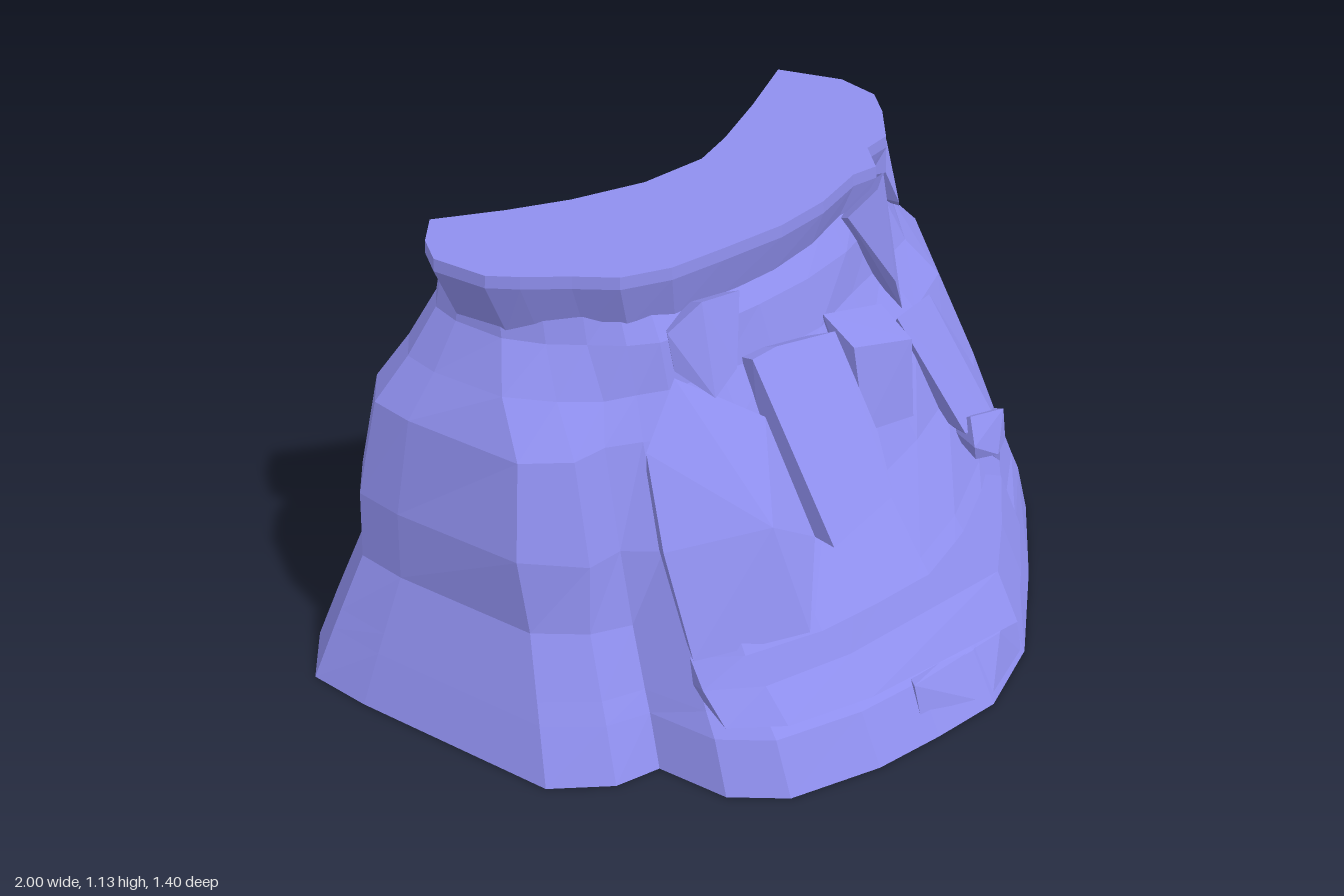
import * as THREE from 'three';
import { ConvexGeometry } from 'three/addons/geometries/ConvexGeometry.js';

const material = new THREE.MeshStandardMaterial({ color: 0x8f8fee, flatShading: true });
const mix = THREE.MathUtils.lerp;

// Closed flat-shaded loft through rings of [x, y, z], running counter-clockwise from above
function loft(rings) {
  const pos = [];
  const tri = (a, b, c) => pos.push(...a, ...b, ...c);
  const n = rings[0].length;
  for (let r = 0; r < rings.length - 1; r++) {
    for (let i = 0; i < n; i++) {
      const j = (i + 1) % n, lo = rings[r], hi = rings[r + 1];
      tri(lo[i], lo[j], hi[j]);
      tri(lo[i], hi[j], hi[i]);
    }
  }
  const lid = (ring, up) => {
    const flat = ring.map(p => new THREE.Vector2(p[0], -p[2]));
    for (const [a, b, c] of THREE.ShapeUtils.triangulateShape(flat, [])) {
      const ccw = THREE.ShapeUtils.area([flat[a], flat[b], flat[c]]) > 0;
      if (ccw === up) tri(ring[a], ring[b], ring[c]);
      else tri(ring[a], ring[c], ring[b]);
    }
  };
  lid(rings[0], false);
  lid(rings[rings.length - 1], true);
  const g = new THREE.BufferGeometry();
  g.setAttribute('position', new THREE.Float32BufferAttribute(pos, 3));
  g.computeVertexNormals();
  return g;
}

// Wall columns: foot x, foot z, top x, top z, share of the front slope
const columns = [
  [-0.89, -0.70, -0.56, -0.50, 0], [-1.00, -0.57, -0.61, -0.44, 0],
  [-0.98, -0.40, -0.62, -0.36, 0], [-0.87, 0.14, -0.60, -0.24, 0],
  [-0.75, 0.25, -0.55, -0.15, 0.2], [-0.64, 0.28, -0.49, -0.08, 0.4],
  [-0.60, 0.46, -0.43, -0.02, 0.9], [-0.50, 0.57, -0.37, 0.02, 1],
  [-0.28, 0.65, -0.24, 0.05, 1], [-0.10, 0.68, -0.10, 0.06, 1],
  [0.08, 0.70, 0.06, 0.06, 1], [0.29, 0.63, 0.22, 0.04, 1],
  [0.55, 0.44, 0.36, 0.00, 0.7], [0.78, 0.25, 0.48, -0.07, 0.3],
  [1.00, -0.18, 0.59, -0.17, 0], [0.97, -0.52, 0.61, -0.32, 0],
  [0.89, -0.66, 0.56, -0.48, 0], [0.40, -0.20, 0.25, -0.33, 0],
  [-0.04, -0.09, 0.00, -0.28, 0], [-0.45, -0.29, -0.30, -0.36, 0],
];
// Height, then how far the front, left and right have moved to the top outline
const levels = [
  [0, 0, 0, 0], [0.13, 0.11, 0.15, 0.05], [0.18, 0.2, 0.21, 0.08], [0.32, 0.38, 0.38, 0.18],
  [0.5, 0.6, 0.41, 0.32], [0.74, 0.82, 0.56, 0.57], [0.84, 0.92, 0.78, 0.82],
  [0.95, 0.96, 0.97, 0.95], [1.04, 1.06, 1.02, 1.02],
];

function wallGeometry() {
  let seed = 7;
  const rough = () => ((seed = (seed * 16807) % 2147483647) / 2147483647 - 0.5) * 0.025;
  return loft(levels.map(([y, front, left, right], k) => columns.map(([x0, z0, x1, z1, w], i) => {
    const side = i > 16 ? y / 1.04 : x0 < 0 ? left : right;
    const f = mix(side, front, w);
    const r = k > 3 && k < 7 && i > 2 && i < 14 ? rough() : 0;
    return [mix(x0, x1, f) + r, y - r, mix(z0, z1, f) + r];
  })));
}

// Crescent outline of the top slab
const rim = [
  [-0.57, -0.51], [-0.64, -0.44], [-0.68, -0.36], [-0.65, -0.22], [-0.60, -0.16], [-0.52, -0.08],
  [-0.45, 0.00], [-0.34, 0.05], [-0.20, 0.07], [-0.03, 0.09], [0.12, 0.08], [0.27, 0.04],
  [0.34, 0.05], [0.40, -0.03], [0.48, -0.04], [0.58, -0.14], [0.64, -0.22], [0.65, -0.34],
  [0.58, -0.50], [0.38, -0.40], [0.20, -0.32], [0.08, -0.28], [-0.10, -0.29], [-0.28, -0.35], [-0.42, -0.42],
];
function slabGeometry() {
  const ring = (y, s, tilt) => rim.map(([x, z]) => [x * s, y + tilt * x, z < -0.25 ? z : (z + 0.25) * s - 0.25]);
  return loft([ring(1.005, 0.92, 0.06), ring(1.1, 1, 0), ring(1.13, 0.995, 0)]);
}

// Lip ledge, a shelf sweeping across the front
const lipFront = [[-0.61, 0.45], [-0.5, 0.54], [-0.28, 0.60], [0.2, 0.645], [0.36, 0.53], [0.52, 0.40]];
function lipGeometry() {
  const back = [[0.45, 0.25], [0, 0.32], [-0.52, 0.25]];
  const ring = (y, push, tilt) => [
    ...lipFront.map(([x, z]) => [x, y - tilt * Math.min(x, 0.2), z + push]),
    ...back.map(([x, z]) => [x, y, z]),
  ];
  return loft([ring(0.18, 0.02, 0.07), ring(0.285, -0.05, 0.01)]);
}

// Angular rocks, each the hull of a few corners
const rocks = {
  nose: [[-0.2, 0.48, 0.42], [0.03, 0.5, 0.4], [0.07, 0.62, 0.31], [-0.18, 0.86, 0.14],
    [-0.1, 0.86, 0.14], [0.08, 0.83, 0.16], [-0.2, 0.48, 0.2], [0.05, 0.5, 0.2], [-0.17, 0.82, 0]],
  leftCheek: [[-0.56, 0.3, 0.32], [-0.3, 0.3, 0.44], [-0.2, 0.48, 0.36], [-0.32, 0.56, 0.34],
    [-0.55, 0.55, 0.22], [-0.5, 0.75, 0.12], [-0.37, 0.87, 0.08], [-0.2, 0.74, 0.2], [-0.4, 0.4, 0]],
  rightEye: [[0.08, 0.86, 0.12], [0.08, 0.81, 0.22], [0.28, 0.75, 0.23], [0.07, 0.6, 0.27],
    [0.25, 0.56, 0.27], [0.34, 0.61, 0.18], [0.29, 0.8, 0.12], [0.2, 0.65, 0]],
  rightCheek: [[0.33, 0.75, 0.14], [0.5, 0.73, 0.1], [0.61, 0.48, 0.19], [0.62, 0.24, 0.27],
    [0.41, 0.45, 0.31], [0.56, 0.4, 0.3], [0.38, 0.5, 0], [0.55, 0.4, 0]],
  cheekStone: [[0.4, 0.43, 0.35], [0.42, 0.38, 0.34], [0.58, 0.35, 0.31], [0.59, 0.43, 0.29],
    [0.44, 0.48, 0.3], [0.5, 0.36, 0.35], [0.45, 0.42, 0.2], [0.57, 0.4, 0.2]],
  leftBrow: [[-0.36, 0.97, 0.05], [-0.28, 1.03, 0.08], [-0.16, 1.01, 0.08], [-0.31, 0.82, 0.15],
    [-0.23, 0.86, 0.14], [-0.36, 0.88, 0.07], [-0.25, 0.95, -0.1]],
  rightBrow: [[0.24, 1.03, 0.05], [0.31, 1.09, 0.08], [0.4, 1.08, 0.02], [0.36, 0.76, 0.13],
    [0.33, 0.85, 0.13], [0.45, 0.95, -0.02], [0.3, 0.95, -0.1]],
  sideStone: [[0.48, 1.03, -0.04], [0.62, 1.03, -0.16], [0.56, 0.9, -0.06], [0.5, 0.95, -0.01],
    [0.63, 0.93, -0.2], [0.63, 0.86, -0.22], [0.45, 0.95, -0.2]],
  chin: [[-0.13, 0, 0.66], [0.08, 0, 0.695], [0.28, 0, 0.63], [-0.13, 0.14, 0.62],
    [0.18, 0.125, 0.63], [0.3, 0.14, 0.57], [0, 0, 0.4], [0, 0.14, 0.4]],
};

export function createModel() {
  const group = new THREE.Group();
  const add = (name, geometry) => {
    const mesh = new THREE.Mesh(geometry, material);
    mesh.name = name;
    group.add(mesh);
  };
  add('cliffWall', wallGeometry());
  add('topSlab', slabGeometry());
  add('lipLedge', lipGeometry());
  for (const [name, corners] of Object.entries(rocks)) {
    add(name, new ConvexGeometry(corners.map(c => new THREE.Vector3(...c))));
  }
  return group;
}
